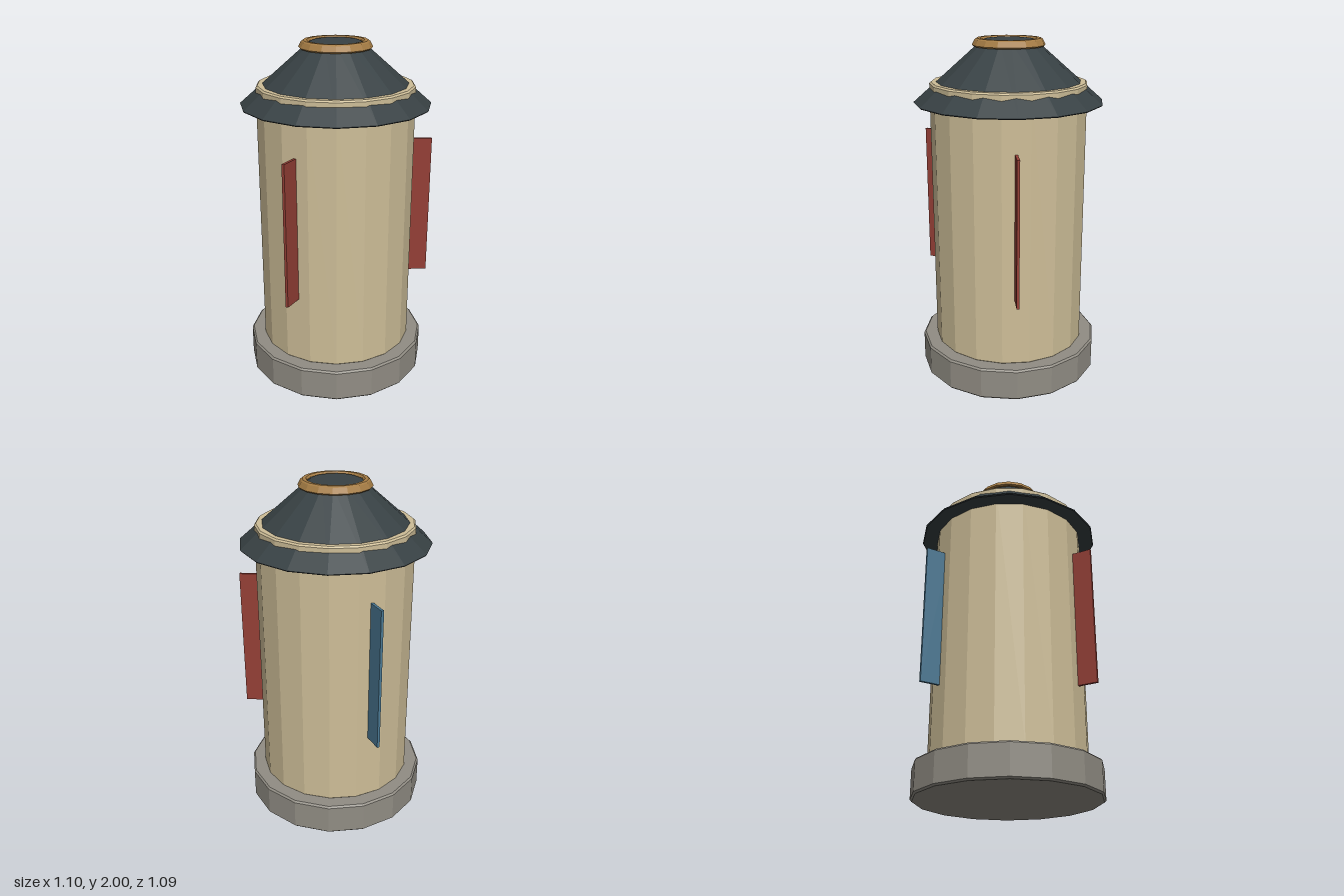
import * as THREE from 'three';

const CX = -0.009; // axis offset that balances the uneven fins

function mat(color) {
  return new THREE.MeshStandardMaterial({ color, flatShading: true });
}

// Faceted turned part from [radius, height] pairs, bottom to top
function turned(name, profile, sides, color) {
  const points = profile.map(([r, y]) => new THREE.Vector2(r, y));
  const mesh = new THREE.Mesh(new THREE.LatheGeometry(points, sides), mat(color));
  mesh.name = name;
  return mesh;
}

// Solid drum with small bevels on both rims
function drum(name, r, y0, y1, bevel, sides, color) {
  return turned(name, [
    [0, y0], [r - bevel, y0], [r, y0 + bevel],
    [r, y1 - bevel], [r - bevel, y1], [0, y1],
  ], sides, color);
}

export function createModel() {
  const group = new THREE.Group();
  group.name = 'tower';
  const turret = new THREE.Group();
  turret.name = 'turret';
  turret.position.x = CX;
  group.add(turret);

  // Base and body; the body's upper rim pokes through the roof as a trim band
  turret.add(drum('base', 0.536, 0, 0.19, 0.01, 16, 0x918d84));
  turret.add(drum('body', 0.452, 0.185, 1.76, 0.009, 18, 0xcebe98));

  // Conical roof with a closed underside
  turret.add(turned('roof', [
    [0, 1.64], [0.54, 1.64], [0.545, 1.646],
    [0.157, 1.985], [0.137, 1.994], [0, 1.994],
  ], 16, 0x384144));

  // Metal collar around the roof opening
  turret.add(turned('collar', [
    [0.15, 1.955], [0.2, 1.955], [0.208, 1.963], [0.192, 1.993],
    [0.182, 2], [0.162, 2], [0.155, 1.992], [0.15, 1.955],
  ], 16, 0xa67d45));

  // Three radial fins
  const fins = [
    ['leftFin', 0, 0x953f36],
    ['backFin', 120, 0x4a7893],
    ['frontFin', 240, 0x953f36],
  ];
  for (const [name, degrees, color] of fins) {
    const pivot = new THREE.Group();
    pivot.name = name;
    pivot.rotation.y = THREE.MathUtils.degToRad(degrees);
    const blade = new THREE.Mesh(new THREE.BoxGeometry(0.137, 0.843, 0.016), mat(color));
    blade.name = name + 'Blade';
    blade.position.set(0.4905, 1.0135, 0);
    pivot.add(blade);
    turret.add(pivot);
  }
  return group;
}
